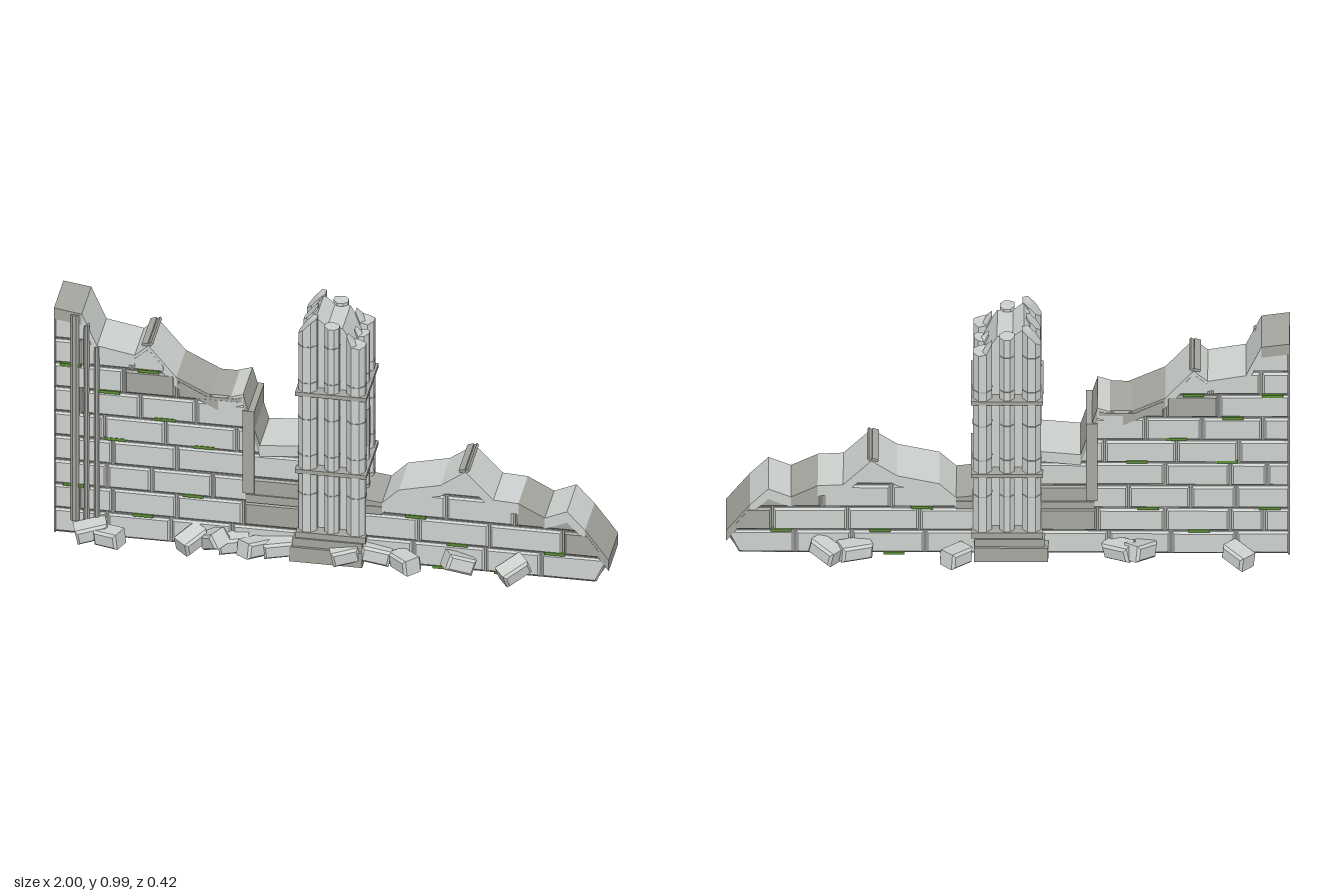
import * as THREE from 'three';

const mat = (name, color) => {
  const m = new THREE.MeshStandardMaterial({ color });
  m.name = name;
  return m;
};

export function createModel() {
  const group = new THREE.Group();
  const stone = mat('stone', 0xcdd2cf);
  const weathered = mat('weathered stone', 0xa5a69f);
  const moss = mat('moss', 0x5c9034);

  let seed = 7;
  const rand = () => (seed = (seed * 16807) % 2147483647) / 2147483647;

  const add = (name, geo, material, x = 0, y = 0, z = 0, parent = group) => {
    const mesh = new THREE.Mesh(geo, material);
    mesh.name = name;
    mesh.position.set(x, y, z);
    parent.add(mesh);
    return mesh;
  };
  const box = (name, w, h, d, material, x, y, z, parent) =>
    add(name, new THREE.BoxGeometry(w, h, d), material, x, y, z, parent);

  // Extrudes an outline through the wall, centred on z = 0
  const slab = (points, depth, bevel = 0) => {
    const shape = new THREE.Shape(points.map(([x, y]) => new THREE.Vector2(x, y)));
    const geo = new THREE.ExtrudeGeometry(shape, {
      depth: depth - 2 * bevel, bevelEnabled: bevel > 0, bevelSegments: 1,
      bevelThickness: bevel, bevelSize: bevel, bevelOffset: -bevel,
    });
    return geo.translate(0, 0, -depth / 2 + bevel);
  };

  // Height along a broken line
  const heightOn = (line, x) => {
    for (let i = 1; i < line.length; i++) {
      const [ax, ay] = line[i - 1], [bx, by] = line[i];
      if (x <= bx) return ay + (by - ay) * Math.max(0, (x - ax) / (bx - ax));
    }
    return line[line.length - 1][1];
  };

  // Two wall halves: ruined skyline, vertical joints of each course from the
  // ground up, weathered bricks as 'course:number', weathered skyline stones
  const left = {
    top: [[-1, 0.93], [-0.9, 0.915], [-0.845, 0.79], [-0.71, 0.765], [-0.66, 0.81],
      [-0.56, 0.69], [-0.41, 0.615], [-0.32, 0.645], [-0.26, 0.44], [-0.1, 0.455]],
    rows: [
      [-1, -0.81, -0.58, -0.36, -0.1], [-1, -0.91, -0.79, -0.56, -0.32, -0.1],
      [-1, -0.81, -0.65, -0.43, -0.29, -0.1], [-1, -0.92, -0.79, -0.56, -0.31, -0.1],
      [-1, -0.82, -0.6, -0.345, -0.1], [-1, -0.905, -0.69, -0.49, -0.3],
      [-1, -0.75, -0.56, -0.31], [-1, -0.9, -0.72, -0.5], [-1, -0.84], [-1, -0.87]],
    worn: ['1:5', '2:5', '6:2', '6:3'],
    wornTops: [1, 6, 8],
  };
  const right = {
    top: [[0.1, 0.26], [0.18, 0.25], [0.24, 0.31], [0.39, 0.345], [0.48, 0.41],
      [0.58, 0.305], [0.67, 0.3], [0.765, 0.25], [0.845, 0.285], [0.91, 0.215], [0.995, 0.1]],
    rows: [
      [0.07, 0.29, 0.55, 0.75, 0.995], [0.1, 0.31, 0.565, 0.83, 0.995],
      [0.1, 0.18, 0.41, 0.655, 0.92], [0.2, 0.39, 0.6]],
    worn: ['1:4', '2:1', '2:4'],
    wornTops: [1, 7, 10],
  };

  const brick = (top, x0, x1, row, material) => {
    const y0 = row * 0.1 + 0.004, y1 = y0 + 0.094;
    let pts = [];
    const n = Math.round((x1 - x0) / 0.005);
    for (let i = 0; i <= n; i++) {
      const x = x0 + ((x1 - x0) * i) / n;
      const y = Math.min(y1, heightOn(top, x) - 0.005);
      if (y - y0 > 0.025) pts.push([x, y]);
    }
    if (pts.length < 8) return;
    // Drop points lying on straight runs
    pts = pts.filter(([x, y], i) => i === 0 || i === pts.length - 1 ||
      Math.abs(2 * y - pts[i - 1][1] - pts[i + 1][1]) > 1e-5);
    const a = pts[0][0], b = pts[pts.length - 1][0];
    const foot = row === 0 && b > 0.98 ? 0.95 : b;
    const outline = [[a, y0], [foot, y0], ...pts.reverse()];
    add('brick', slab(outline, 0.184 + rand() * 0.008, 0.007), material);
  };

  for (const { top, rows, worn, wornTops } of [left, right]) {
    const first = top[0][0], last = top[top.length - 1][0];
    const inner = top.map(([x, y]) => [x, y - 0.012]).reverse();
    add('wallCore', slab([[first, 0], [Math.min(last, 0.945), 0], ...inner], 0.168), weathered);
    rows.forEach((joints, row) => {
      for (let i = 1; i < joints.length; i++) {
        brick(top, joints[i - 1] + (i > 1 ? 0.004 : 0), joints[i] - 0.004, row,
          worn.includes(`${row}:${i}`) ? weathered : stone);
      }
    });
    // Broken stones along the skyline
    for (let i = 1; i < top.length; i++) {
      const [ax, ay] = top[i - 1], [bx, by] = top[i];
      const cap = [[ax, ay - 0.045], [bx, by - 0.045], [bx, by], [ax, ay]];
      add('brokenTop', slab(cap, 0.19), wornTops.includes(i) ? weathered : stone);
    }
  }
  // Plain end face of the tall wall
  box('wallEnd', 0.006, 0.925, 0.186, weathered, -0.998, 0.4625, 0);

  // Splintered chips on the highest stones
  for (const [x, y] of [[-0.665, 0.81], [0.475, 0.41]]) {
    for (const s of [-1, 1]) {
      box('chip', 0.024, 0.01, 0.18, weathered, x + s * 0.008, y, 0).rotation.z = 0.5 + s * 0.2;
    }
  }

  // Moss in the joints
  for (const [x, y] of [[-0.94, 0.7], [-0.66, 0.703], [-0.8, 0.603], [-0.78, 0.41], [-0.46, 0.41],
    [-0.93, 0.205], [-0.68, 0.105], [-0.82, 0.006], [-0.6, 0.51], [-0.5, 0.205], [0.45, 0.105],
    [0.62, 0.006], [0.4, 0.006], [0.8, 0.105], [0.18, 0.006], [0.3, 0.205]]) {
    box('moss', 0.075, 0.011, 0.195, moss, x, y, 0);
  }

  // Eight-sided shaft whose top is cut by a rule
  const shaft = (name, r, x, z, y0, topAt, material, parent = group) => {
    let geo = new THREE.CylinderGeometry(r, r, 1, 8, 1).rotateY(Math.PI / 8);
    const p = geo.attributes.position;
    for (let i = 0; i < p.count; i++) {
      p.setY(i, p.getY(i) < 0 ? y0 : topAt(x + p.getX(i)));
    }
    geo = geo.toNonIndexed();
    geo.computeVertexNormals();
    return add(name, geo, material, x, 0, z, parent);
  };

  // Slender shafts at the wall end and the door jamb
  for (const [x, r, h] of [[-0.925, 0.017, 0.91], [-0.883, 0.012, 0.87], [-0.846, 0.012, 0.785]]) {
    shaft('wallShaft', r, x, 0.088, 0.06, () => h, weathered);
  }
  box('jamb', 0.042, 0.34, 0.2, weathered, -0.3, 0.41, 0);
  box('leftLedge', 0.2, 0.032, 0.196, weathered, -0.21, 0.218, 0);
  box('rightLedge', 0.08, 0.032, 0.196, weathered, 0.14, 0.218, 0);

  // Clustered column
  const column = new THREE.Group();
  column.name = 'column';
  group.add(column);
  const crown = [[-0.125, 0.92], [-0.06, 0.995], [-0.02, 0.96], [0.035, 0.96], [0.08, 0.885], [0.125, 0.895]];
  const crownAt = (x) => heightOn(crown, x);
  add('columnCore', slab([[-0.08, 0.1], [0.08, 0.1], [0.08, 0.873], [0.035, 0.948],
    [-0.02, 0.948], [-0.06, 0.983], [-0.08, 0.96]], 0.16), stone, 0, 0, 0, column);
  for (const x of [-1, 0, 1]) {
    for (const z of [-1, 0, 1]) {
      if (!x && !z) continue;
      const r = x && z ? 0.036 : 0.028;
      const d = x && z ? 0.087 : 0.092;
      shaft('columnShaft', r, x * d, z * d, 0.1, crownAt, stone, column);
      // Joints between the drums
      for (const y of [0.27, 0.43, 0.58, 0.73, 0.88]) {
        if (y > 0.8 && x > 0) continue;
        shaft('drumJoint', r + 0.0015, x * d, z * d, y - 0.002, () => y + 0.002, weathered, column);
      }
    }
  }
  // Weathered drums on the two side shafts
  for (const s of [-1, 1]) {
    shaft('weatheredDrum', 0.029, s * 0.092, 0, 0.432, () => 0.578, weathered, column);
  }
  for (const y of [0.365, 0.685]) box('band', 0.256, 0.016, 0.246, weathered, 0, y, 0, column);
  box('plinthTop', 0.25, 0.025, 0.25, weathered, 0, 0.103, 0, column);
  box('plinthMiddle', 0.25, 0.035, 0.262, weathered, -0.01, 0.075, 0, column);
  box('plinthFoot', 0.262, 0.06, 0.28, weathered, -0.015, 0.03, 0, column);

  // Fallen blocks: x, z, turn, tilt
  const rubble = [[-0.86, 0.125, 0.3, 0.2], [-0.79, 0.15, -0.4, 0.1], [-0.5, 0.13, 0.9, 0.3],
    [-0.42, 0.125, -0.7, 0.5], [-0.35, 0.11, 0.2, 0.1], [-0.27, 0.135, 0.9, -0.2],
    [-0.19, 0.11, 0.2, 0.1], [0.05, 0.12, 0.3, 0.2], [0.16, 0.1, 0.1, -0.2], [0.27, 0.135, -0.8, 0.1],
    [0.46, 0.125, 0.5, -0.4], [0.66, 0.14, 0.7, 0.4], [-0.82, -0.15, -0.8, 0.1],
    [-0.47, -0.13, 0.9, 0.3], [-0.4, -0.12, -0.6, -0.2], [0.18, -0.16, 0.8, 0.15],
    [0.54, -0.12, 0.4, 0.1], [0.64, -0.13, -0.7, 0.2]];
  for (const [x, z, turn, tilt] of rubble) {
    const w = 0.095 + 0.025 * rand(), h = 0.06;
    const geo = slab([[-w / 2, -h / 2], [w / 2, -h / 2], [w / 2, h / 2], [-w / 2, h / 2]], 0.075, 0.009);
    const y = 0.036 + Math.abs(Math.sin(tilt)) * 0.042;
    add('rubble', geo, stone, x, y, z).rotation.set(tilt * 0.4, turn, tilt, 'YXZ');
  }

  return group;
}
